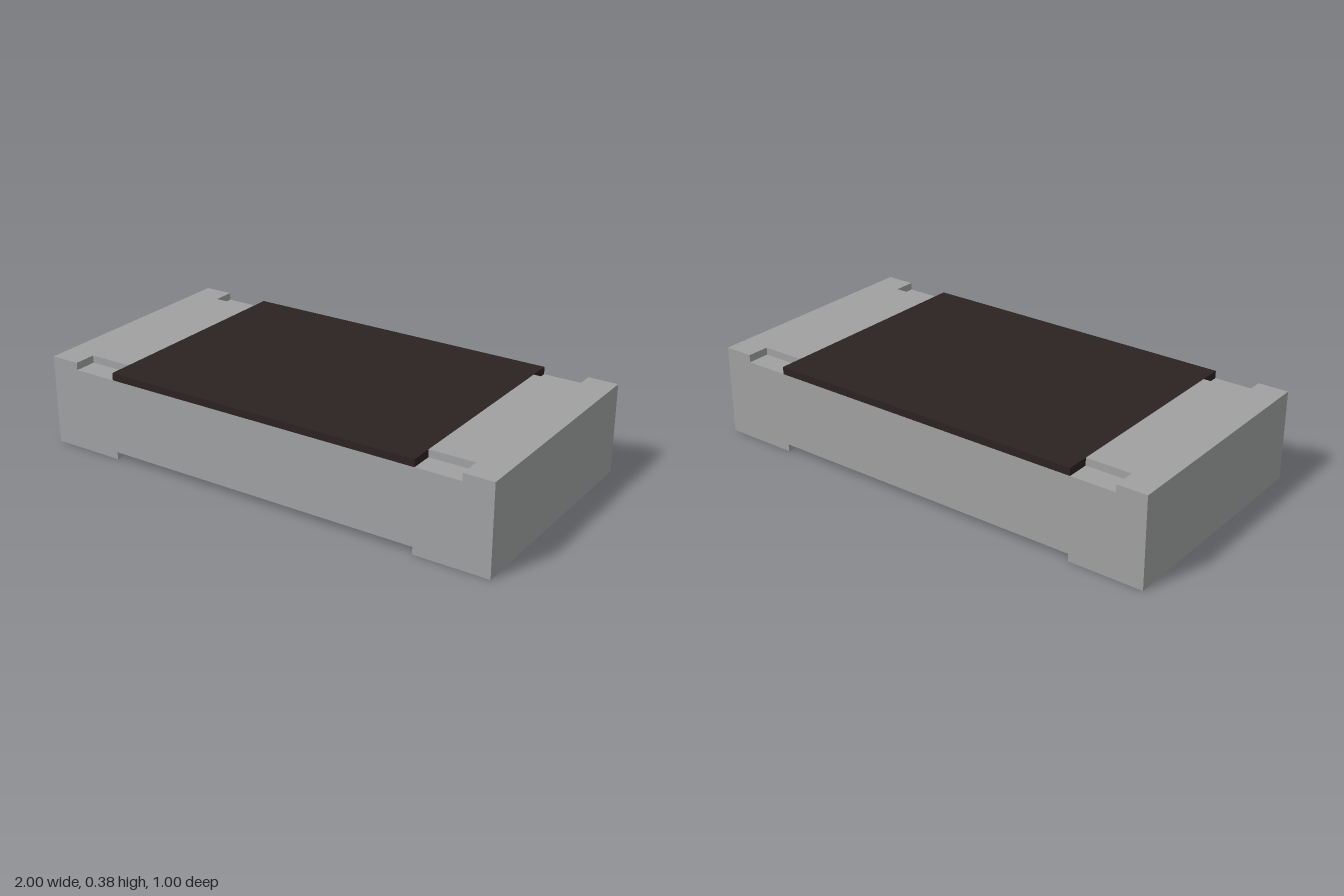
import * as THREE from 'three';

const T = 0.031;              // plating thickness
const H = 0.375, D = 1;       // overall height and depth
const INNER = 0.6875;         // inner edge of the terminals

const grey = new THREE.MeshStandardMaterial({ color: 0xa0a1a2 });
grey.name = 'grey';
const black = new THREE.MeshStandardMaterial({ color: 0x2c2222 });
black.name = 'brownBlack';

// Extrude a closed outline of [x, y] points
function slab(points, depth) {
  const shape = new THREE.Shape(points.map(([x, y]) => new THREE.Vector2(x, y)));
  return new THREE.ExtrudeGeometry(shape, { depth, bevelEnabled: false });
}

function part(name, geometry, material) {
  const mesh = new THREE.Mesh(geometry, material);
  mesh.name = name;
  return mesh;
}

// Metal end: L-shaped wrap under and around the end, plus a stepped top pad
function createTerminal(name) {
  const terminal = new THREE.Group();
  terminal.name = name;

  const wrap = slab([
    [INNER, 0], [1, 0], [1, H - T], [1 - T, H - T], [1 - T, T], [INNER, T],
  ], D).translate(0, 0, -D / 2);
  terminal.add(part('endWrap', wrap, grey));

  // Narrow tongue inward, full width at the end
  const step = 0.875, tongue = 0.405;
  const pad = slab([
    [INNER, -tongue], [step, -tongue], [step, -D / 2], [1, -D / 2],
    [1, D / 2], [step, D / 2], [step, tongue], [INNER, tongue],
  ], T).rotateX(-Math.PI / 2).translate(0, H - T, 0);
  terminal.add(part('topPad', pad, grey));
  return terminal;
}

export function createModel() {
  const model = new THREE.Group();
  model.name = 'chipResistor';

  // Ceramic block
  const body = new THREE.BoxGeometry(2 - 2 * T, H - 2 * T, D).translate(0, H / 2, 0);
  model.add(part('ceramicBody', body, grey));

  // Dark protective coating on top
  const coat = new THREE.BoxGeometry(2 * INNER, T, D).translate(0, H - T / 2, 0);
  model.add(part('topCoating', coat, black));

  // Matching terminals at both ends
  const left = createTerminal('leftTerminal');
  const right = createTerminal('rightTerminal');
  right.rotation.y = Math.PI;
  model.add(left, right);
  return model;
}
